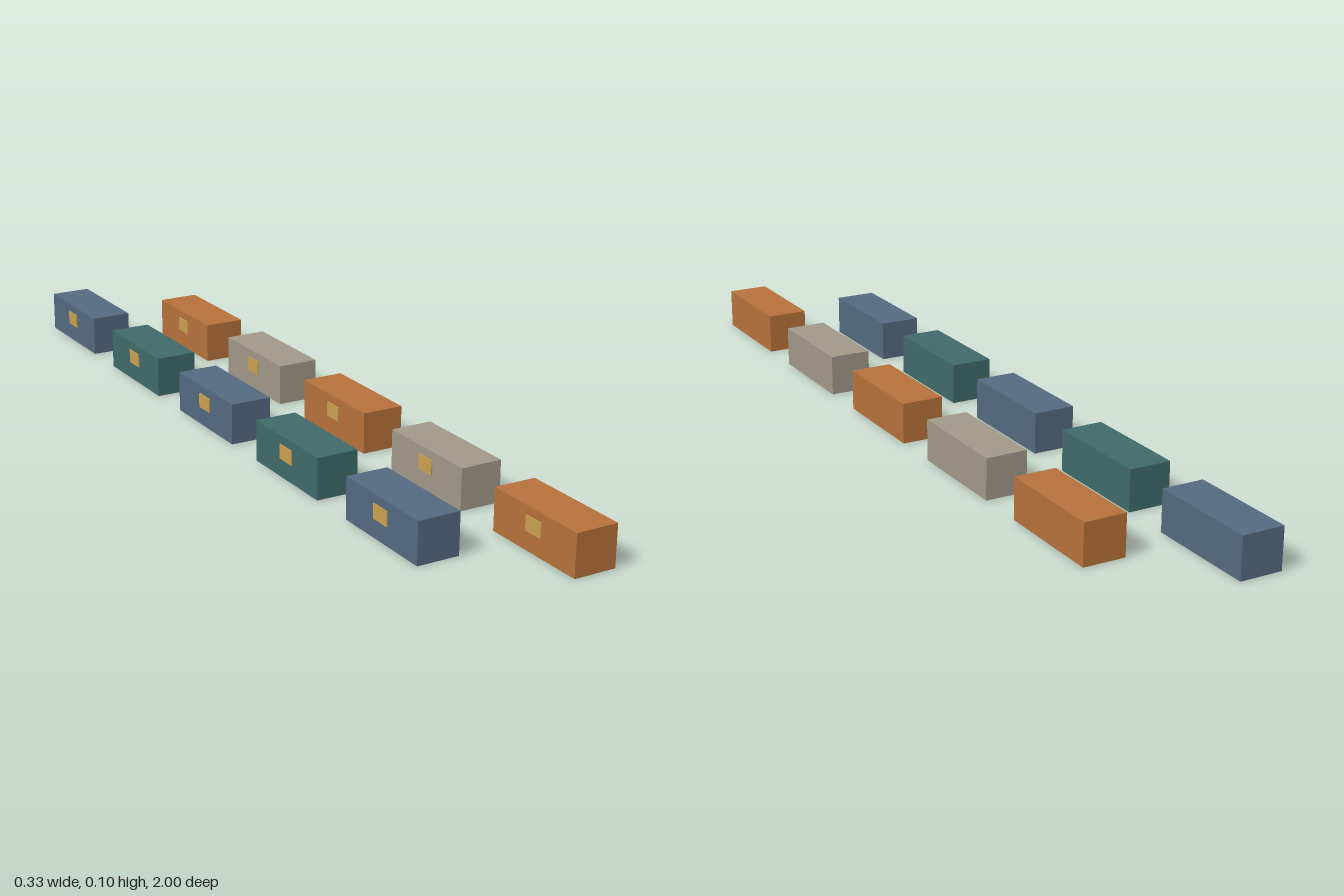
import * as THREE from 'three';

const LENGTH = 0.267, WIDTH = 0.1, HEIGHT = 0.097, PITCH = 0.3833;

function material(name, color) {
  const m = new THREE.MeshStandardMaterial({ color });
  m.name = name;
  return m;
}

export function createModel() {
  const blue = material('slate blue', 0x546a80);
  const teal = material('deep teal', 0x406a6a);
  const orange = material('rust orange', 0xb6713a);
  const beige = material('warm grey', 0xa09888);
  const gold = material('gold', 0xc8a050);

  const bodyGeometry = new THREE.BoxGeometry(WIDTH, HEIGHT, LENGTH);
  const plateGeometry = new THREE.BoxGeometry(0.003, 0.034, 0.05);

  // One block with a small plate on its -x side
  function createBlock(name, bodyMaterial) {
    const block = new THREE.Group();
    block.name = name;
    const body = new THREE.Mesh(bodyGeometry, bodyMaterial);
    body.name = 'body';
    body.position.y = HEIGHT / 2;
    const plate = new THREE.Mesh(plateGeometry, gold);
    plate.name = 'sidePlate';
    plate.position.set(-WIDTH / 2 - 0.0012, 0.06, 0);
    block.add(body, plate);
    return block;
  }

  // Two staggered rows of five, alternating in colour
  const rows = [
    { name: 'rightRow', x: -0.115, start: -0.8665, colors: [blue, teal] },
    { name: 'leftRow', x: 0.1165, start: 0.8665 - 4 * PITCH, colors: [orange, beige] },
  ];
  const model = new THREE.Group();
  model.name = 'blockRows';
  for (const { name, x, start, colors } of rows) {
    const row = new THREE.Group();
    row.name = name;
    for (let i = 0; i < 5; i++) {
      const block = createBlock(`block${i + 1}`, colors[i % 2]);
      block.position.set(x, 0, start + i * PITCH);
      row.add(block);
    }
    model.add(row);
  }
  return model;
}
